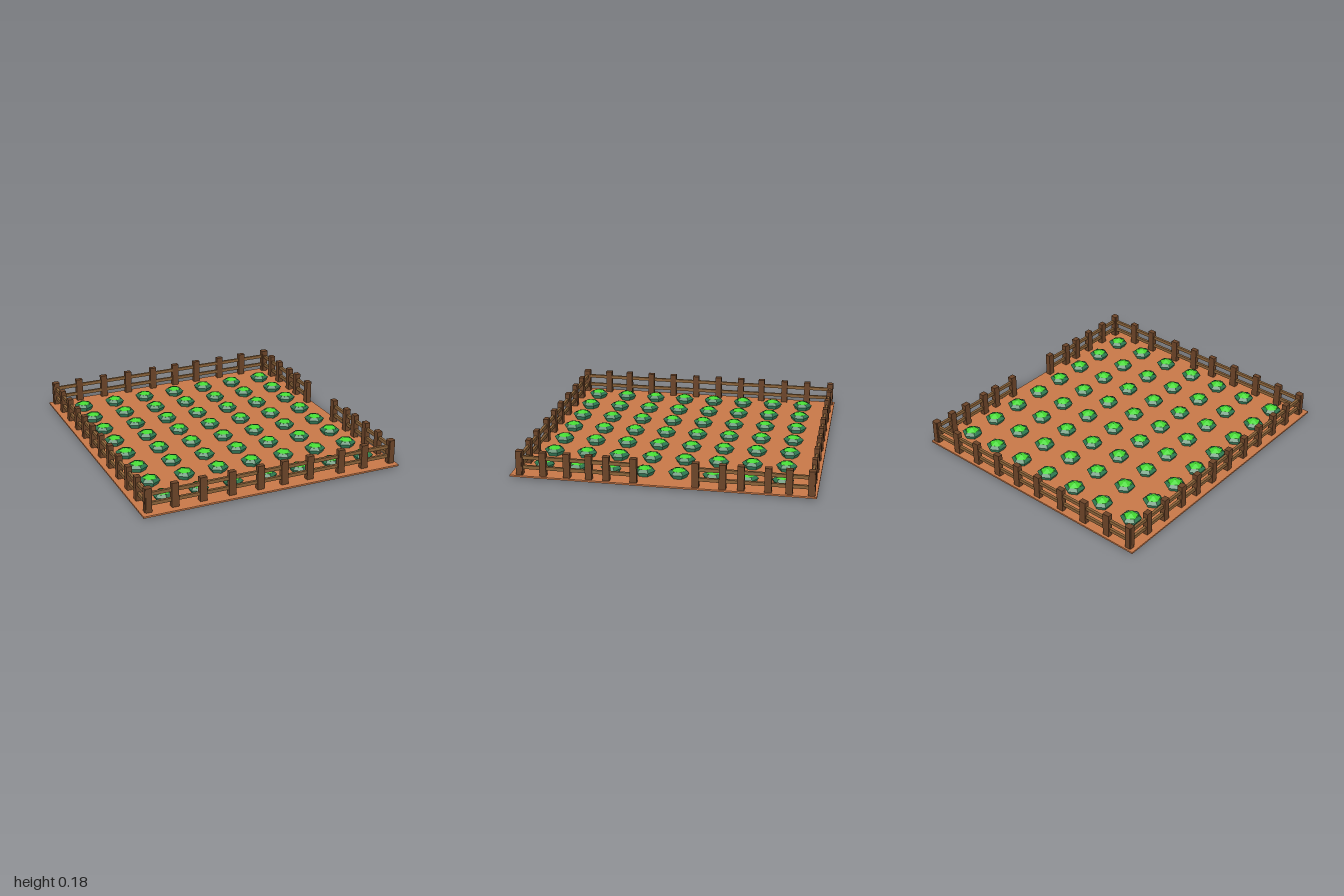
import * as THREE from 'three';

const mat = (color, extra = {}) => new THREE.MeshStandardMaterial({ color, flatShading: true, ...extra });
const SOIL = mat(0xc87848);
const POST = mat(0x6b4428);
const RAIL = mat(0x8a6238);
const LEAF = mat(0x3f8f68, { side: THREE.DoubleSide });
const INNER_LEAF = mat(0x2f7850, { side: THREE.DoubleSide });
const HEART = mat(0x44d933);

function box(parent, name, material, size, pos) {
  const mesh = new THREE.Mesh(new THREE.BoxGeometry(...size), material);
  mesh.position.set(...pos);
  mesh.name = name;
  parent.add(mesh);
}

// Straight fence run: posts at the given stations, two rails between the ends
function fence(name, alongX, fixed, stations) {
  const group = new THREE.Group();
  group.name = name;
  for (const s of stations) {
    box(group, 'post', POST, alongX ? [0.048, 0.165, 0.034] : [0.037, 0.165, 0.045],
      alongX ? [s, 0.102, fixed] : [fixed, 0.102, s]);
  }
  const a = stations[0], b = stations[stations.length - 1];
  const mid = (a + b) / 2, len = b - a;
  for (const y of [0.071, 0.138]) {
    box(group, 'rail', RAIL, alongX ? [len, 0.023, 0.018] : [0.018, 0.023, len],
      alongX ? [mid, y, fixed] : [fixed, y, mid]);
  }
  return group;
}

// Six-sided outer leaves, a sloping inner leaf band and a faceted heart
const outerGeo = new THREE.CylinderGeometry(0.071, 0.04, 0.05, 6, 1, true).translate(0, 0.025, 0);
const innerGeo = new THREE.CylinderGeometry(0.05, 0.071, 0.018, 6, 1, true).translate(0, 0.059, 0);
const heartGeo = new THREE.IcosahedronGeometry(0.054, 0);
// Turn one corner of the heart straight up, then squash it
heartGeo.rotateX(Math.atan(2 / (1 + Math.sqrt(5)))).rotateZ(0);
heartGeo.applyQuaternion(new THREE.Quaternion().setFromUnitVectors(
  new THREE.Vector3().fromBufferAttribute(heartGeo.attributes.position, 0).normalize(),
  new THREE.Vector3(0, 1, 0)));
heartGeo.scale(1, 0.62, 1).translate(0, 0.051, 0);

function cabbage(x, z) {
  const group = new THREE.Group();
  group.name = 'cabbage';
  for (const [name, geo, material] of [
    ['outerLeaves', outerGeo, LEAF], ['innerLeaves', innerGeo, INNER_LEAF], ['heart', heartGeo, HEART]]) {
    const mesh = new THREE.Mesh(geo, material);
    mesh.name = name;
    group.add(mesh);
  }
  group.position.set(x, 0, z);
  return group;
}

export function createModel() {
  const model = new THREE.Group();
  model.name = 'cabbageField';
  box(model, 'soil', SOIL, [1.82, 0.011, 2], [0, 0.0145, 0]);

  // Planting grid
  for (let i = 0; i < 7; i++)
    for (let j = 0; j < 8; j++) model.add(cabbage(-0.71 + i * 0.2415, -0.77 + j * 0.2262));

  // Fences, with an opening on the +x side
  const across = [-0.86, -0.68, -0.49, -0.29, -0.09, 0.08, 0.265, 0.495, 0.67, 0.875];
  const back = [-0.86, -0.68, -0.485, -0.29, -0.085, 0.1, 0.28, 0.48, 0.67, 0.875];
  model.add(
    fence('frontFence', true, 0.938, across),
    fence('backFence', true, -0.965, back),
    fence('rightFence', false, -0.86,
      [-0.965, -0.79, -0.617, -0.44, -0.28, -0.106, 0.07, 0.25, 0.424, 0.6, 0.763, 0.938]),
    fence('leftFenceBack', false, 0.876, [-0.965, -0.823, -0.69, -0.517, -0.4, -0.225]),
    fence('leftFenceFront', false, 0.876, [0.178, 0.358, 0.474, 0.62, 0.78, 0.938]));
  return model;
}
